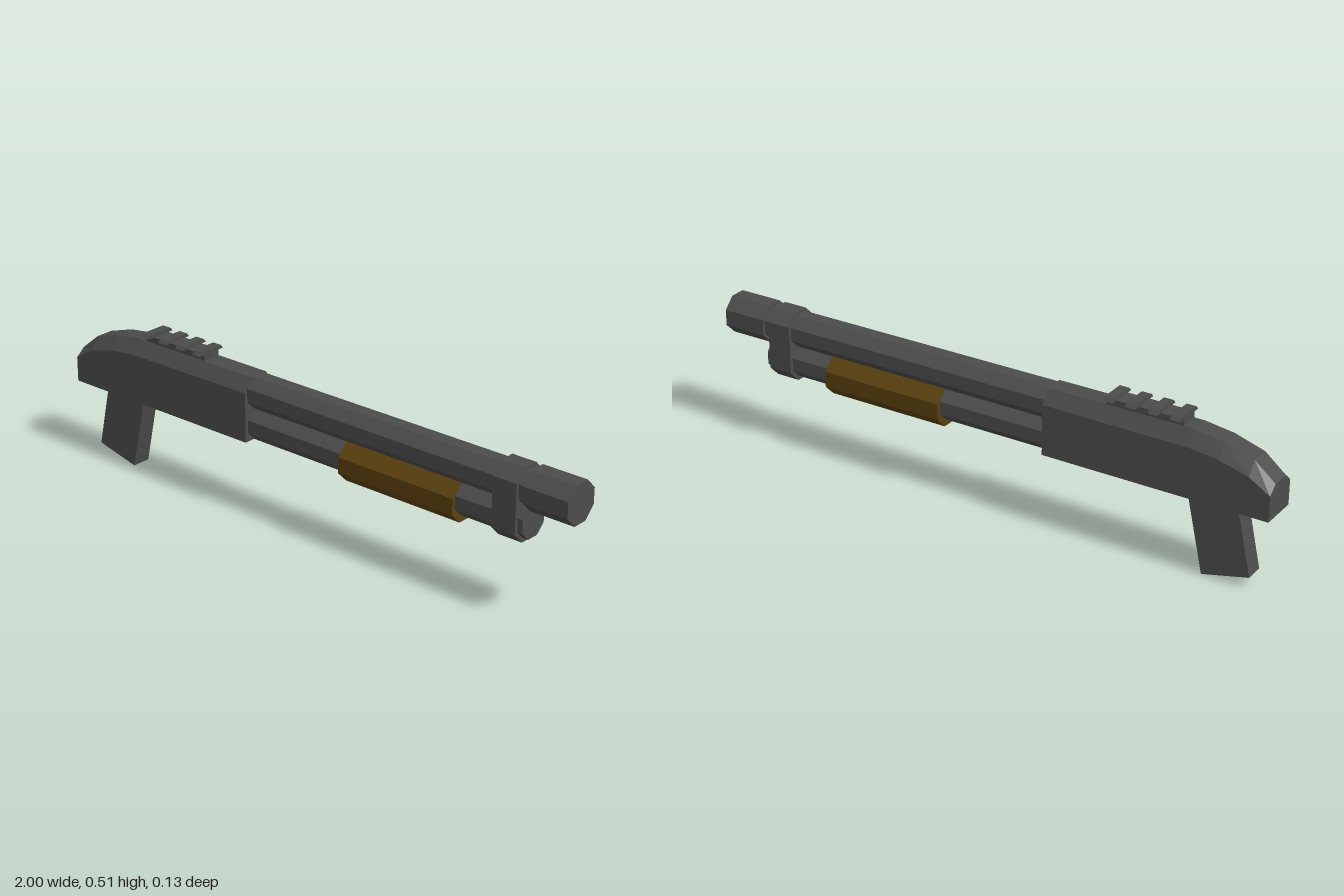
import * as THREE from 'three';

const metal = new THREE.MeshStandardMaterial({ color: 0x4c4c4c, flatShading: true });
metal.name = 'dark grey metal';
const wood = new THREE.MeshStandardMaterial({ color: 0x5a400d, flatShading: true });
wood.name = 'brown wood';

function addMesh(group, name, geometry, material = metal) {
  const mesh = new THREE.Mesh(geometry, material);
  mesh.name = name;
  group.add(mesh);
}

// Extrude a closed (z, y) profile along x from x0 to x1
function prism(profile, x0, x1) {
  const shape = new THREE.Shape(profile.map(([z, y]) => new THREE.Vector2(z, y)));
  const geo = new THREE.ExtrudeGeometry(shape, { depth: x1 - x0, bevelEnabled: false });
  return geo.rotateY(Math.PI / 2).translate(x0, 0, 0);
}

// Octagon with flat sides, stretched between a lower and an upper centre
function octagon(apothem, lowY, highY = lowY) {
  const r = apothem / Math.cos(Math.PI / 8);
  return Array.from({ length: 8 }, (_, i) => {
    const a = (i + 0.5) * Math.PI / 4;
    return [r * Math.cos(a), (i < 4 ? highY : lowY) + r * Math.sin(a)];
  });
}

// Skin a row of cross-sections along x, with end caps
function loft(sections) {
  const pos = [];
  const tri = (...pts) => pts.forEach(p => pos.push(...p));
  const n = sections[0].length;
  for (let s = 0; s < sections.length - 1; s++) {
    const a = sections[s], b = sections[s + 1];
    for (let i = 0; i < n; i++) {
      const j = (i + 1) % n;
      tri(a[i], a[j], b[j]);
      tri(a[i], b[j], b[i]);
    }
  }
  const first = sections[0], last = sections[sections.length - 1];
  for (let i = 1; i < n - 1; i++) {
    tri(first[0], first[i + 1], first[i]);
    tri(last[0], last[i], last[i + 1]);
  }
  const geo = new THREE.BufferGeometry();
  geo.setAttribute('position', new THREE.Float32BufferAttribute(pos, 3));
  geo.computeVertexNormals();
  return geo;
}

export function createModel() {
  const model = new THREE.Group();
  model.name = 'pumpShotgun';

  // Receiver: chamfered top that slopes down at the rear [x, shoulder, top]
  const stations = [
    [-1, 0.345, 0.372], [-0.93, 0.388, 0.43], [-0.83, 0.415, 0.461],
    [-0.73, 0.427, 0.475], [-0.23, 0.43, 0.475],
  ];
  addMesh(model, 'receiver', loft(stations.map(([x, shoulder, top]) => [
    [x, 0.26, 0.065], [x, 0.26, -0.065], [x, shoulder, -0.065],
    [x, top, -0.033], [x, top, 0.033], [x, shoulder, 0.065],
  ])));

  // Slanted grip
  const gripShape = new THREE.Shape([
    new THREE.Vector2(-0.935, 0.038), new THREE.Vector2(-0.776, 0),
    new THREE.Vector2(-0.712, 0.29), new THREE.Vector2(-0.879, 0.29),
  ]);
  addMesh(model, 'grip', new THREE.ExtrudeGeometry(gripShape,
    { depth: 0.066, bevelEnabled: false }).translate(0, 0, -0.033));

  // Barrel, magazine tube and muzzle
  addMesh(model, 'barrel', prism(octagon(0.055, 0.42), -0.25, 0.86));
  addMesh(model, 'magazineTube', prism(octagon(0.053, 0.311), -0.25, 0.84));
  addMesh(model, 'muzzle', prism(octagon(0.065, 0.42), 0.845, 1));

  // Clamp that joins the two tubes
  addMesh(model, 'clamp', prism(octagon(0.065, 0.31, 0.42), 0.737, 0.822));

  // Pump handle
  addMesh(model, 'pumpHandle', prism(octagon(0.065, 0.3), 0.155, 0.595), wood);

  // Top rail with four teeth
  const rail = new THREE.Group();
  rail.name = 'topRail';
  const base = new THREE.BoxGeometry(0.26, 0.03, 0.066).translate(-0.565, 0.481, 0);
  addMesh(rail, 'railBase', base);
  const tooth = [[-0.055, 0.495], [0.055, 0.495], [0.044, 0.507], [-0.044, 0.507]];
  for (let i = 0; i < 4; i++) {
    const x = -0.695 + i * 0.0757;
    addMesh(rail, 'railTooth', prism(tooth, x, x + 0.033));
  }
  model.add(rail);

  return model;
}
